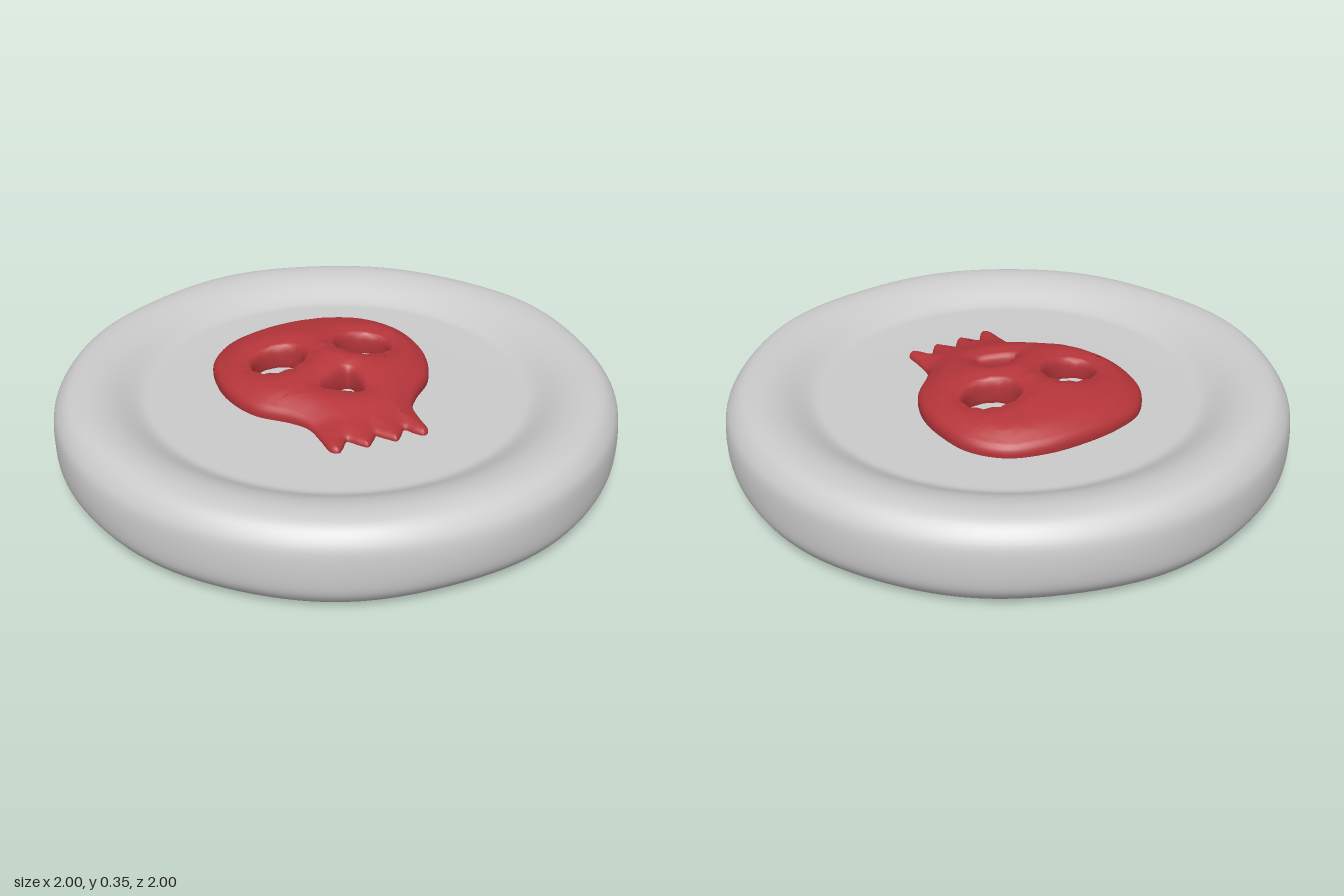
import * as THREE from 'three';
import { mergeVertices } from 'three/addons/utils/BufferGeometryUtils.js';

const v2 = ([x, y]) => new THREE.Vector2(x, y);

// Weld all vertices and give smooth normals
function smooth(geometry) {
  geometry.deleteAttribute('uv');
  geometry.deleteAttribute('normal');
  const g = mergeVertices(geometry, 1e-4);
  g.computeVertexNormals();
  return g;
}

// Bisect long edges until every edge is shorter than max
function tessellate(geometry, max) {
  const p = geometry.toNonIndexed ? (geometry.index ? geometry.toNonIndexed() : geometry).attributes.position : null;
  const stack = [], out = [];
  const at = (i) => new THREE.Vector3().fromBufferAttribute(p, i);
  for (let i = 0; i < p.count; i += 3) stack.push([at(i), at(i + 1), at(i + 2)]);
  while (stack.length) {
    const t = stack.pop();
    const len = t.map((a, i) => a.distanceTo(t[(i + 1) % 3]));
    const k = len.indexOf(Math.max(...len));
    if (len[k] <= max) {
      t.forEach((a) => out.push(a.x, a.y, a.z));
      continue;
    }
    const a = t[k], b = t[(k + 1) % 3], c = t[(k + 2) % 3];
    const m = a.clone().add(b).multiplyScalar(0.5);
    stack.push([a, m, c], [m, b, c]);
  }
  const g = new THREE.BufferGeometry();
  g.setAttribute('position', new THREE.Float32BufferAttribute(out, 3));
  return g;
}

// Round disc with a raised soft rim and a shallow recess on both faces
function makeDisc() {
  const rim = [
    [0.66, 0.062], [0.7, 0.057], [0.78, 0.02], [0.84, 0.003], [0.9, 0], [0.95, 0.012],
    [0.985, 0.05], [1, 0.1], [1, 0.205], [0.985, 0.255], [0.95, 0.293], [0.9, 0.305],
    [0.84, 0.302], [0.78, 0.283], [0.7, 0.241], [0.66, 0.235],
  ].map(v2);
  const profile = [
    v2([0, 0.062]), v2([0.4, 0.062]),
    ...new THREE.SplineCurve(rim).getPoints(60),
    v2([0.4, 0.235]), v2([0, 0.235]),
  ];
  const g = new THREE.LatheGeometry(profile, 128);
  const p = g.attributes.position;
  // Hand-shaped unevenness along the rounded edges
  for (let i = 0; i < p.count; i++) {
    const x = p.getX(i), y = p.getY(i), z = p.getZ(i);
    const r = Math.hypot(x, z);
    if (r < 0.85) continue;
    const a = Math.atan2(z, x) + (y > 0.15 ? 0 : 1.3);
    const wave = 0.5 + 0.25 * Math.sin(5 * a) + 0.25 * Math.sin(9 * a + 1);
    const edge = Math.min(1, Math.abs(y - 0.152) / 0.152) ** 2 * Math.min(1, (r - 0.85) / 0.08);
    const s = 1 - 0.02 * wave * edge;
    p.setXYZ(i, x * s, y, z * s);
  }
  return smooth(g);
}

// Domed skull relief with eye and nose openings
function makeSkull() {
  const shape = new THREE.Shape();
  const notch = -0.365;
  const tooth = (c) => [[c - 0.024, -0.4], [c, -0.422], [c + 0.024, -0.4]];
  shape.moveTo(0, notch);
  shape.splineThru([
    ...tooth(0.052), [0.105, notch], ...tooth(0.153),
    [0.18, -0.33], [0.19, -0.245], [0.235, -0.18], [0.32, -0.09], [0.37, 0.03],
    [0.38, 0.16], [0.355, 0.3], [0.27, 0.405], [0.14, 0.455], [0, 0.467],
    [-0.14, 0.455], [-0.27, 0.41], [-0.365, 0.3], [-0.395, 0.16], [-0.385, 0.03],
    [-0.335, -0.09], [-0.24, -0.18], [-0.195, -0.245], [-0.185, -0.33],
    ...tooth(-0.157), [-0.105, notch], ...tooth(-0.052), [0, notch],
  ].map(v2));

  // Eyes
  for (const [x, tilt] of [[0.155, -0.25], [-0.172, 0.25]]) {
    const eye = new THREE.Path();
    eye.absellipse(x, 0.132, 0.098, 0.082, 0, Math.PI * 2, false, tilt);
    shape.holes.push(eye);
  }
  // Nose
  const nose = new THREE.Path();
  nose.moveTo(-0.085, -0.09);
  nose.splineThru([[-0.06, -0.065], [0.015, -0.03], [0.042, -0.04], [0.052, -0.09],
    [0.045, -0.14], [0.015, -0.146], [-0.06, -0.112], [-0.085, -0.09]].map(v2));
  shape.holes.push(nose);

  const bevel = 0.02;
  const solid = new THREE.ExtrudeGeometry(shape, {
    depth: 0.02, curveSegments: 6, bevelEnabled: true, bevelSegments: 4,
    bevelSize: bevel, bevelOffset: -bevel, bevelThickness: 0.04,
  });
  const g = tessellate(solid, 0.04);
  const border = [shape, ...shape.holes].flatMap((c) => c.getPoints(6));
  const p = g.attributes.position;
  // Lay flat, swell away from the borders and dome the crown
  for (let i = 0; i < p.count; i++) {
    const x = p.getX(i), y = p.getY(i);
    const t = (p.getZ(i) + 0.04) / 0.1;
    let d = 1;
    for (const b of border) d = Math.min(d, Math.hypot(b.x - x, b.y - y));
    const swell = 0.02 * THREE.MathUtils.smoothstep(d, 0, 0.08);
    const dome = 0.058 * Math.max(-0.35, 1 - (x / 0.4) ** 2 - ((y - 0.12) / 0.36) ** 2);
    p.setXYZ(i, x, 0.215 + t * (0.06 + swell + dome), -y);
  }
  return smooth(g);
}

export function createModel() {
  const group = new THREE.Group();
  const add = (name, geometry, color) => {
    const mesh = new THREE.Mesh(geometry, new THREE.MeshStandardMaterial({ color }));
    mesh.name = name;
    group.add(mesh);
  };
  add('disc', makeDisc(), 0xcccccc);
  add('skullRelief', makeSkull(), 0xb5353a);
  return group;
}
